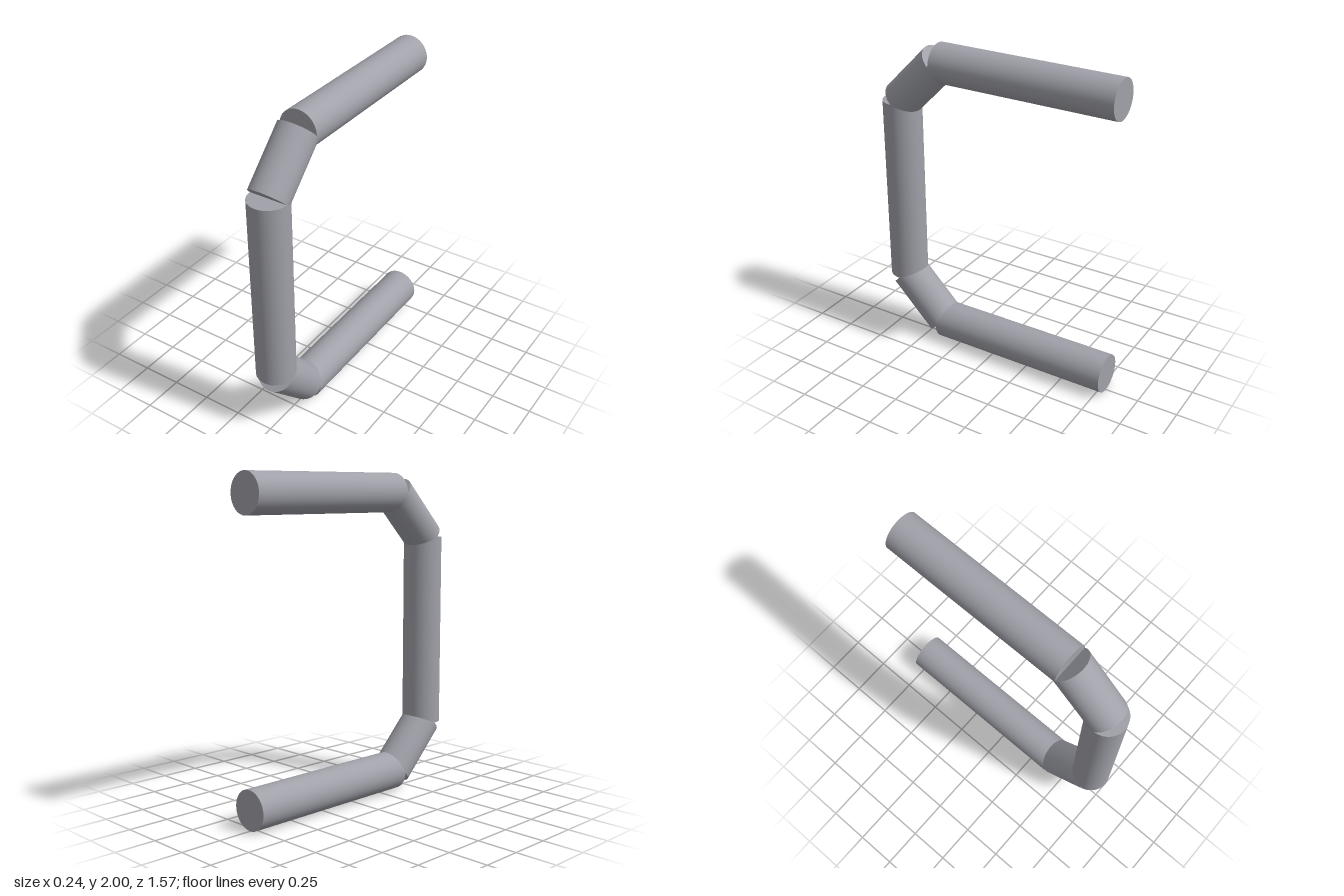
import * as THREE from 'three';

const RADIUS = 0.12;

// Straight rod between two points in the x = 0 plane, given as [y, z]
function rod(name, [y0, z0], [y1, z1], material) {
  const a = new THREE.Vector3(0, y0, z0);
  const b = new THREE.Vector3(0, y1, z1);
  const dir = b.clone().sub(a);
  const mesh = new THREE.Mesh(new THREE.CylinderGeometry(RADIUS, RADIUS, dir.length(), 48), material);
  mesh.position.copy(a).add(b).multiplyScalar(0.5);
  mesh.quaternion.setFromUnitVectors(new THREE.Vector3(0, 1, 0), dir.normalize());
  mesh.name = name;
  return mesh;
}

export function createModel() {
  const group = new THREE.Group();
  group.name = 'pullHandle';
  const steel = new THREE.MeshStandardMaterial({ color: 0xa0a1a9 });
  steel.name = 'brushedSteel';

  const gripZ = 0.667;
  const bendZ = 0.387;

  // Upright grip
  group.add(rod('grip', [0.4, gripZ], [1.6, gripZ], steel));

  // Slanted corner pieces and mounting arms, mirrored about y = 1
  for (const [side, s] of [['upper', 1], ['lower', -1]]) {
    const armY = 1 + s * 0.88;
    group.add(rod(side + 'Corner', [1 + s * 0.6, gripZ], [armY, bendZ], steel));
    group.add(rod(side + 'Arm', [armY, bendZ], [armY, -0.787], steel));
  }
  return group;
}
